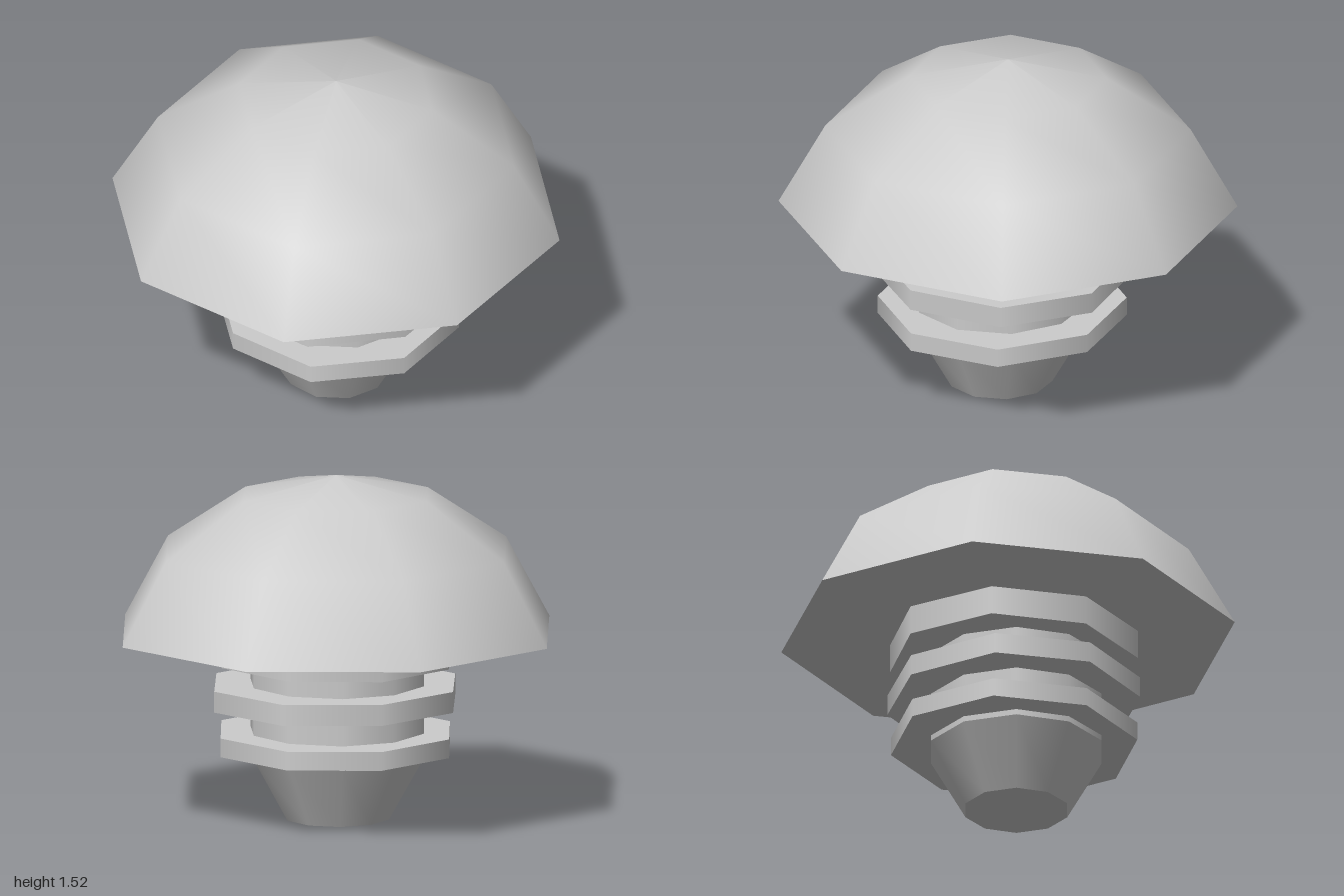
import * as THREE from 'three';

const material = new THREE.MeshStandardMaterial({ color: 0xcccccc });

// Smooth-sided lathe from [radius, height] pairs going upwards
function lathe(profile, sides) {
  return new THREE.LatheGeometry(profile.map(([r, y]) => new THREE.Vector2(r, y)), sides);
}

export function createModel() {
  const model = new THREE.Group();
  const add = (name, geometry, parent = model) => {
    const mesh = new THREE.Mesh(geometry, material);
    mesh.name = name;
    parent.add(mesh);
    return mesh;
  };

  // Eight-sided domed cap with a flat underside
  const cap = new THREE.Group();
  cap.name = 'cap';
  model.add(cap);
  add('dome', lathe([[1, 0.83], [0.86, 1.195], [0.465, 1.44], [0, 1.525]].map(
    ([r, y], i) => [[1, 0.797, 0.43, 0][i], y]), 8), cap);
  const underside = add('capUnderside', new THREE.CircleGeometry(1, 8).rotateX(Math.PI / 2), cap);
  underside.position.y = 0.83;

  // Flat eight-sided rings: name, bottom, top, x range, z range
  const rings = [
    ['collar', 0.7, 0.83, -0.54, 0.525, -0.53, 0.585],
    ['upperRing', 0.505, 0.598, -0.57, 0.56, -0.525, 0.58],
    ['lowerRing', 0.305, 0.388, -0.545, 0.53, -0.52, 0.575],
  ];
  for (const [name, y0, y1, x0, x1, z0, z1] of rings) {
    const ring = add(name, new THREE.CylinderGeometry(1, 1, y1 - y0, 8));
    ring.scale.set((x1 - x0) / 2, 1, (z1 - z0) / 2);
    ring.position.set((x0 + x1) / 2, (y0 + y1) / 2, (z0 + z1) / 2);
  }

  // Stem: straight shaft over a tapered, closed foot
  const stem = new THREE.Group();
  stem.name = 'stem';
  stem.position.set(-0.018, 0, 0.032);
  stem.rotation.y = Math.PI / 2;
  model.add(stem);
  add('shaft', lathe([[0.39, 0.28], [0.39, 0.83]], 10), stem);
  add('foot', lathe([[0.233, 0], [0.39, 0.28]], 10), stem);
  // Half-turn offset lines the disc corners up with the foot
  add('footBase', new THREE.CircleGeometry(0.233, 10, Math.PI / 2).rotateX(Math.PI / 2), stem);

  return model;
}
